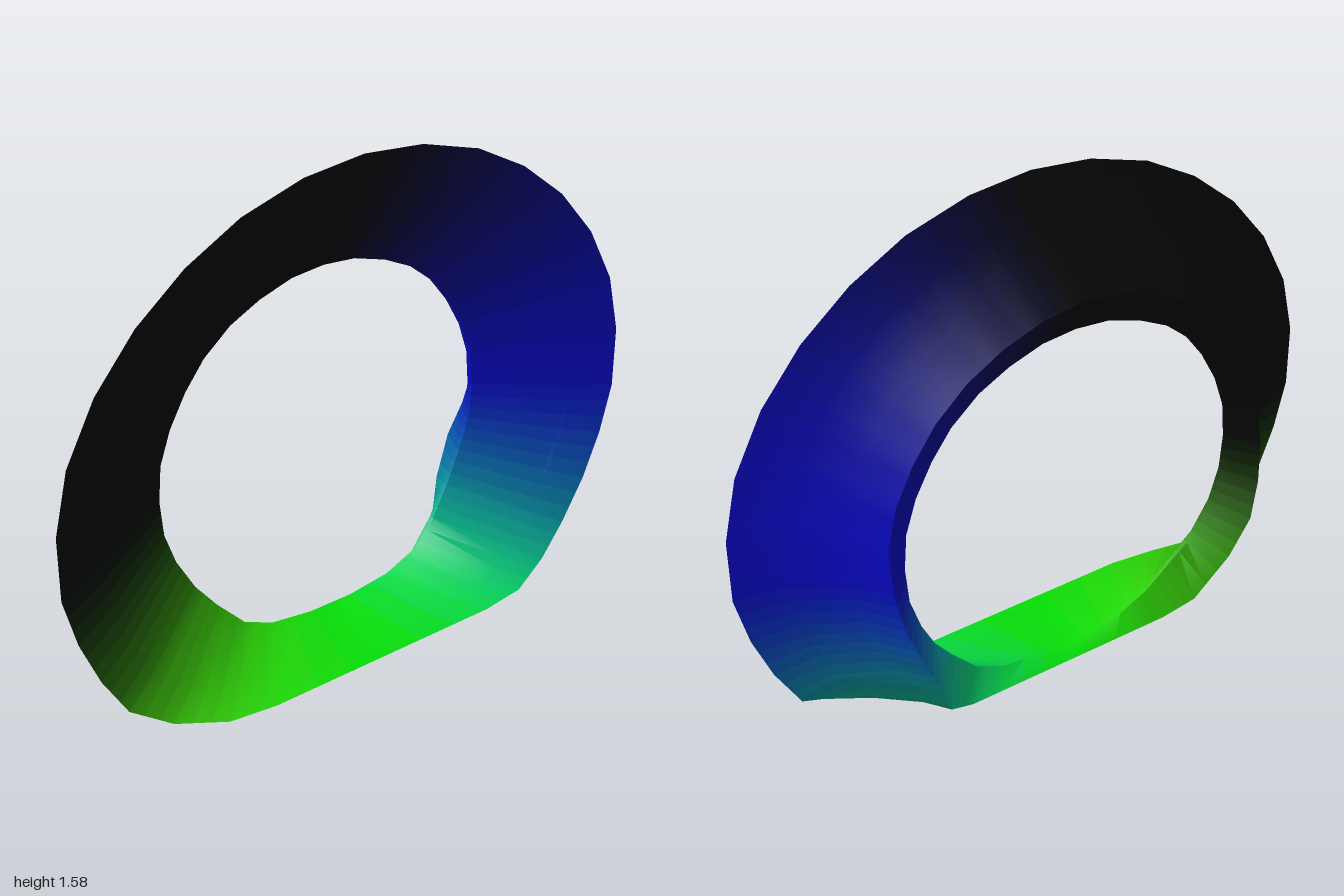
import * as THREE from 'three';
import { toCreasedNormals } from 'three/addons/utils/BufferGeometryUtils.js';

const lerp = THREE.MathUtils.lerp;
const clamp = (v) => THREE.MathUtils.clamp(v, 0, 1);

// Outer rim and hole edge as [z, y], from the top down one side to the bottom
const OUTER = [[0, 1.575], [0.2, 1.555], [0.4, 1.495], [0.575, 1.4], [0.73, 1.275], [0.86, 1.12],
  [0.955, 0.94], [1, 0.75], [1, 0.55], [0.96, 0.39], [0.9, 0.24], [0.82, 0.1],
  [0.7, 0.025], [0.55, 0], [0.4, 0], [0, 0]];
const INNER = [[0, 1.18], [0.11, 1.17], [0.22, 1.135], [0.32, 1.085], [0.41, 1.01], [0.475, 0.925],
  [0.53, 0.825], [0.565, 0.72], [0.575, 0.605], [0.565, 0.49], [0.53, 0.385], [0.475, 0.28],
  [0.405, 0.19], [0.32, 0.1], [0.22, 0.055], [0, 0.025]];

// Sideways position of rim, three outer corners and the two hole corners, changing towards the flat foot
const LOWER_X = {
  7: [0.1, 0.05, -0.07, -0.155, -0.112, -0.09],
  8: [0.1, 0.05, -0.08, -0.178, -0.112, -0.09],
  9: [0.1, 0.05, -0.08, -0.2, -0.112, -0.09],
  10: [0.1, 0.05, -0.09, -0.22, -0.11, -0.09],
  11: [0.1, 0.05, -0.09, -0.2, -0.1, -0.08],
  12: [0.14, 0.07, -0.05, -0.135, -0.075, -0.06],
  13: [0.2, 0.12, 0, -0.1, -0.06, -0.05],
  14: [0.22, 0.13, 0, -0.1, -0.06, -0.05],
  15: [0.22, 0.13, 0, -0.1, -0.06, -0.05],
};
const FLATTEN = { 11: 0.92, 12: 0.33, 13: 0, 14: 0, 15: 0 };
const SUBSTEPS = 3; // colour steps between two stations

// Seven corners of the section at one station; side is +1 (front) or -1 (back)
function section(i, side) {
  const f = clamp(i / 9);
  const t = [1, lerp(0.72, 0.67, f), lerp(0.46, 0.33, f), lerp(0.26, 0.17, f), 0, 0, 0.69];
  const xs = LOWER_X[i] ?? [0.1, 0.05, lerp(-0.04, -0.07, i / 7), -0.15, -0.112, -0.088];
  const dish = lerp(xs[5], xs[0], 0.69) + 0.012; // slight belly of the dished face
  return t.map((k, j) => {
    const z = lerp(INNER[i][0], OUTER[i][0], k);
    let y = lerp(INNER[i][1], OUTER[i][1], k);
    if (j > 0 && j < 4) y *= FLATTEN[i] ?? 1;
    return [xs[j] ?? dish, y, z * side];
  });
}

// Colour fades: dark above, blue at the back, green at the foot
function shade(y, z) {
  const g = 0.9 * clamp(1 - y / 0.66) ** 1.4;
  return new THREE.Color().setRGB(
    Math.max(0.025, 0.5 * g * clamp(z)), Math.max(0.025, g),
    Math.max(0.025, 0.85 * clamp(-z * 1.1)), THREE.SRGBColorSpace);
}

export function createModel() {
  const last = OUTER.length - 1;
  const stations = [];
  for (let i = 0; i <= last; i++) stations.push(section(i, 1));
  for (let i = last - 1; i > 0; i--) stations.push(section(i, -1));

  // Straight steps between stations, so the colour can fade
  const rows = stations.flatMap((from, i) => {
    const to = stations[(i + 1) % stations.length];
    return Array.from({ length: SUBSTEPS }, (_, s) =>
      from.map((p, j) => p.map((v, axis) => lerp(v, to[j][axis], s / SUBSTEPS))));
  });

  // Loft the closed section around the loop, one colour per step
  const n = rows.length, m = rows[0].length;
  const index = [], materials = [];
  const geo = new THREE.BufferGeometry();
  for (let i = 0; i < n; i++) {
    const next = (i + 1) % n;
    geo.addGroup(index.length, m * 6, i);
    for (let j = 0; j < m; j++) {
      const k = (j + 1) % m;
      const a = i * m + j, b = i * m + k, c = next * m + j, d = next * m + k;
      index.push(a, b, c, b, d, c);
    }
    const mid = (axis) => (rows[i][0][axis] + rows[i][4][axis]
      + rows[next][0][axis] + rows[next][4][axis]) / 4;
    materials.push(new THREE.MeshStandardMaterial({ color: shade(mid(1), mid(2)), side: THREE.DoubleSide }));
  }
  geo.setAttribute('position', new THREE.Float32BufferAttribute(rows.flat(2), 3));
  geo.setIndex(index);

  const ring = new THREE.Mesh(toCreasedNormals(geo, 0.9), materials);
  ring.name = 'ring';
  const group = new THREE.Group();
  group.name = 'flatFootedRing';
  group.add(ring);
  return group;
}
